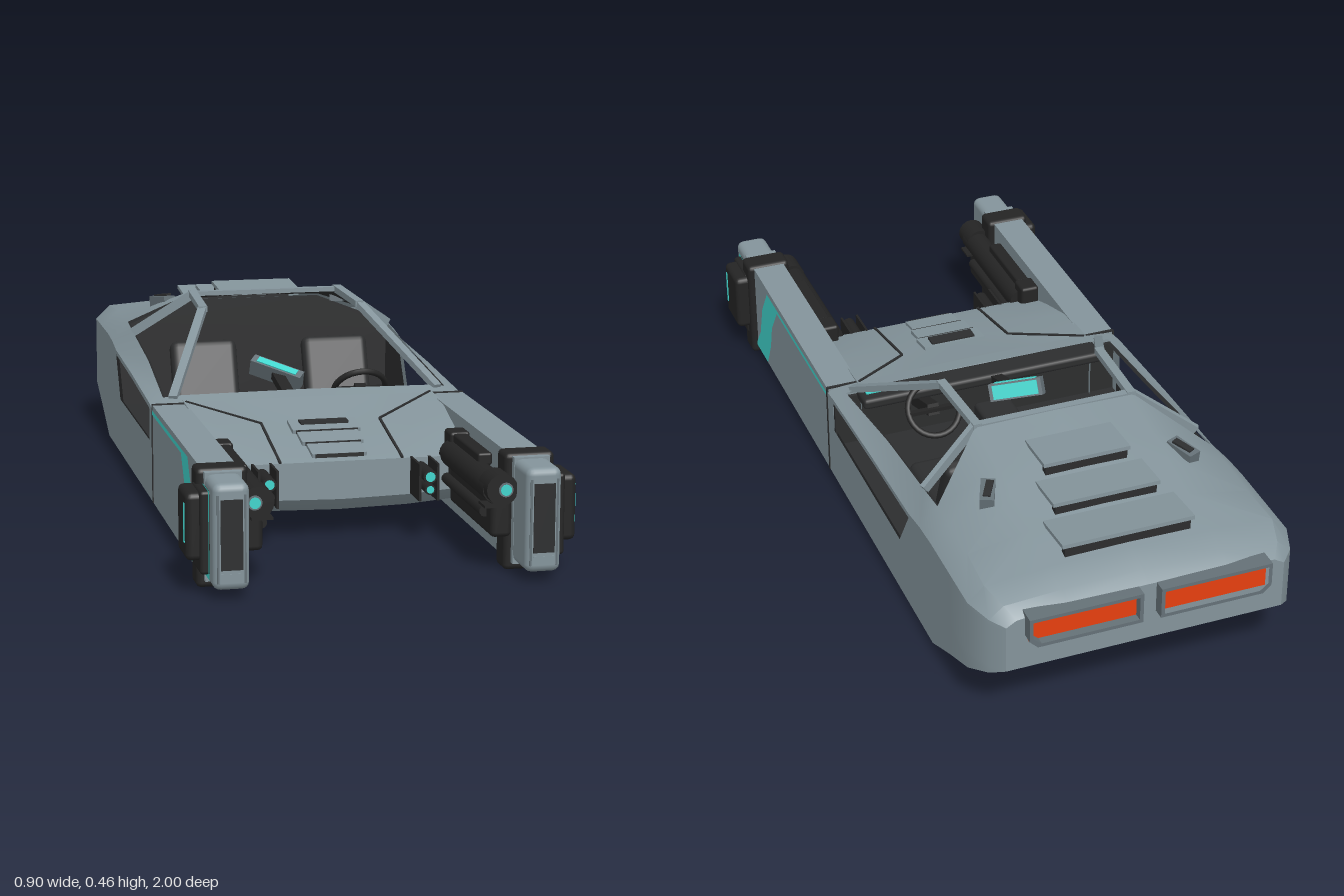
import * as THREE from 'three';
import { toCreasedNormals } from 'three/addons/utils/BufferGeometryUtils.js';
import { RoundedBoxGeometry } from 'three/addons/geometries/RoundedBoxGeometry.js';

const mat = (name, color, side = THREE.FrontSide) => {
  const m = new THREE.MeshStandardMaterial({ color, side });
  m.name = name;
  return m;
};

export function createModel() {
  const root = new THREE.Group();
  root.name = 'hoverCar';
  const paint = mat('greyPaint', 0x84949b, THREE.DoubleSide);
  const trim = mat('darkTrim', 0x2c2d2e, THREE.DoubleSide);
  const black = mat('blackMetal', 0x242424);
  const cyan = mat('cyanGlow', 0x40d4cc, THREE.DoubleSide);
  const orange = mat('orangeLamp', 0xe8400f);
  const frame = mat('frameGrey', 0x657177);

  const add = (name, geo, m, x = 0, y = 0, z = 0) => {
    const mesh = new THREE.Mesh(geo, m);
    mesh.name = name;
    mesh.position.set(x, y, z);
    root.add(mesh);
    return mesh;
  };
  const box = (name, m, w, h, d, x, y, z, r = 0) =>
    add(name, r ? new RoundedBoxGeometry(w, h, d, 2, r) : new THREE.BoxGeometry(w, h, d), m, x, y, z);
  const tube = (name, m, r, len, x, y, z, sides = 16) =>
    add(name, new THREE.CylinderGeometry(r, r, len, sides).rotateX(Math.PI / 2), m, x, y, z);
  // rectangular bar running from a to b
  const bar = (name, m, a, b, w, h) => {
    const p = new THREE.Vector3(...a), q = new THREE.Vector3(...b);
    const mesh = add(name, new THREE.BoxGeometry(w, h, p.distanceTo(q)), m);
    mesh.position.copy(p).add(q).multiplyScalar(0.5);
    mesh.lookAt(q);
    return mesh;
  };
  // mirrored skin over half sections that run front to back, bottom to top
  const loft = (rows, skip = () => false, angle = 0.6) => {
    const pos = [];
    for (const s of [1, -1]) {
      const tri = (...ps) => (s > 0 ? ps : ps.reverse()).forEach(([x, y, z]) => pos.push(s * x, y, z));
      for (let r = 0; r < rows.length - 1; r++) for (let c = 0; c < rows[r].length - 1; c++) {
        const [a, b, e, d] = [rows[r][c], rows[r][c + 1], rows[r + 1][c + 1], rows[r + 1][c]];
        if (!skip(r, c, 0)) tri(a, d, b);
        if (!skip(r, c, 1)) tri(b, d, e);
      }
    }
    const g = new THREE.BufferGeometry();
    g.setAttribute('position', new THREE.Float32BufferAttribute(pos, 3));
    return toCreasedNormals(g, angle);
  };
  // flat plate in the zy plane
  const sidePlate = (name, m, pts, x) =>
    add(name, new THREE.ShapeGeometry(new THREE.Shape(pts.map(p => new THREE.Vector2(...p)))).rotateY(-Math.PI / 2), m, x);

  // ---- main hull: z, bottom y, half width, outer shoulder y, inner shoulder x y, roof x y
  const stations = [
    [0.16, 0.02, 0.40, 0.258, 0.37, 0.268, 0.30, 0.272],
    [0.11, 0.02, 0.40, 0.265, 0.365, 0.277, 0.335, 0.281],
    [-0.19, 0.02, 0.40, 0.282, 0.355, 0.315, 0.21, 0.447],
    [-0.40, 0.02, 0.40, 0.292, 0.355, 0.343, 0.20, 0.456],
    [-0.55, 0.02, 0.40, 0.305, 0.355, 0.355, 0.20, 0.428],
    [-0.63, 0.02, 0.40, 0.31, 0.355, 0.355, 0.20, 0.408],
    [-0.75, 0.075, 0.40, 0.31, 0.355, 0.352, 0.20, 0.382],
    [-0.87, 0.125, 0.40, 0.31, 0.36, 0.348, 0.20, 0.36],
    [-0.94, 0.155, 0.375, 0.305, 0.34, 0.335, 0.20, 0.343],
    [-0.97, 0.172, 0.345, 0.295, 0.32, 0.31, 0.20, 0.322],
  ];
  const section = ([z, yb, w, yo, xi, yi, xr, yr], r) => {
    const lean = r === 3 ? 0.07 : 0;
    return [[0, yb, z], [w, yb, z], [w, Math.max(0.17, yb + 0.02), z], [w, yo - 0.012, z - lean],
      [w, yo, z - lean], [xi, yi, z - lean * 0.8], [xr, yr, z], [0, yr + 0.003, z]];
  };
  const hull = stations.map(section);
  hull.push(hull[9].map(() => [0, 0.24, -0.97]));
  const open = (r, c, t) => {
    if (r === 1 || r === 2) return c === 2 || c === 5 || c === 6;
    return r === 3 && c === 5 && t === 0;
  };
  add('hull', loft(hull, open), paint);
  // dark cabin lining just inside the hull
  const lining = hull.slice(1, 6).map(row => row.map(([x, y, z]) => [x * 0.98, y - 0.006, z]));
  add('cabinLining', loft(lining, (r, c, t) => c === 0 || open(r + 1, c, t)), trim);
  const wall = new THREE.Shape([[-0.39, 0.03], [0.39, 0.03], [0.39, 0.3], [0.34, 0.34], [0.19, 0.4],
    [-0.19, 0.4], [-0.34, 0.34], [-0.39, 0.3]].map(p => new THREE.Vector2(...p)));
  add('rearBulkhead', new THREE.ShapeGeometry(wall), trim, 0, 0, -0.615);
  box('cabinFloor', trim, 0.78, 0.02, 0.74, 0, 0.1, -0.24);
  box('firewall', trim, 0.78, 0.22, 0.01, 0, 0.14, 0.135);

  // ---- nose and hood: z, bottom y, outer top y, inner top y
  const nose = [[0.52, 0.1, 0.19, 0.19], [0.49, 0.068, 0.2, 0.198], [0.4, 0.045, 0.232, 0.215],
    [0.29, 0.03, 0.266, 0.238], [0.12, 0.02, 0.276, 0.278]]
    .map(([z, yb, yo, yi]) => [[0, yb - 0.004, z], [0.17, yb, z], [0.32, yb + 0.012, z],
      [0.32, yo, z], [0.15, yi, z], [0, yi, z]]);
  nose.unshift(nose[0].map(() => [0, 0.145, 0.52]));
  add('nose', loft(nose), paint);
  const slope = z => 0.19 + (0.52 - z) * 0.209;
  [0.31, 0.38, 0.45].forEach((z, i) => {
    const w = 0.17 - i * 0.018;
    bar('hoodSlat', paint, [0, slope(z) + 0.007, z - 0.02], [0, slope(z + 0.06) + 0.008, z + 0.05], w, 0.01);
    box('hoodVent', trim, w - 0.015, 0.009, 0.006, 0, slope(z + 0.05) + 0.006, z + 0.051);
  });
  box('hoodIntake', trim, 0.12, 0.006, 0.035, 0, slope(0.32) + 0.013, 0.32);

  // ---- roof louvres, stepping down the rear deck
  [[-0.49, 0.44, -0.61, 0.446, 0.11], [-0.62, 0.411, -0.73, 0.418, 0.135], [-0.74, 0.385, -0.86, 0.396, 0.165]]
    .forEach(([z0, y0, z1, y1, w]) => {
      bar('louvre', paint, [0, y0, z0], [0, y1, z1], w * 2, 0.01);
      box('louvreGap', trim, w * 1.9, 0.03, 0.02, 0, y1 - 0.018, z1 + 0.015);
    });

  for (const s of [1, -1]) {
    const P = (x, y, z) => [s * x, y, z];
    // window pillars
    bar('windscreenPillar', paint, P(0.342, 0.277, 0.125), P(0.21, 0.447, -0.19), 0.022, 0.016);
    bar('roofRail', paint, P(0.21, 0.447, -0.18), P(0.2, 0.454, -0.41), 0.022, 0.016);
    bar('doorPillar', paint, P(0.2, 0.452, -0.395), P(0.355, 0.343, -0.456), 0.014, 0.024);
    // deck vents
    bar('deckVent', frame, P(0.235, 0.404, -0.57), P(0.265, 0.395, -0.64), 0.035, 0.03);
    bar('deckVentSlot', trim, P(0.236, 0.421, -0.585), P(0.262, 0.412, -0.63), 0.018, 0.006);
    // hood seams
    bar('hoodSeam', trim, P(0.315, 0.273, 0.155), P(0.15, 0.239, 0.29), 0.006, 0.006);
    bar('hoodSeam', trim, P(0.15, 0.239, 0.29), P(0.15, 0.192, 0.52), 0.006, 0.006);

    // front arm with clamp and tip
    box('frontArm', paint, 0.085, 0.25, 0.74, s * 0.357, 0.144, 0.53);
    box('armTip', paint, 0.083, 0.242, 0.16, s * 0.357, 0.144, 0.92, 0.018);
    box('tipFrame', frame, 0.066, 0.2, 0.006, s * 0.357, 0.14, 0.996);
    box('tipGrille', trim, 0.05, 0.16, 0.006, s * 0.357, 0.15, 0.998);
    box('tipLip', paint, 0.05, 0.02, 0.006, s * 0.357, 0.052, 0.998);
    box('armClamp', black, 0.118, 0.275, 0.068, s * 0.357, 0.1375, 0.85, 0.012);
    box('seam', trim, 0.004, 0.25, 0.007, s * 0.4, 0.145, 0.16);
    box('topSeam', trim, 0.08, 0.004, 0.007, s * 0.36, 0.27, 0.16);

    // cyan markings on the outer flank
    sidePlate('flankBand', cyan, [[0.59, 0.258], [0.655, 0.17], [0.675, 0.1], [0.715, 0.025],
      [0.825, 0.025], [0.775, 0.09], [0.745, 0.18], [0.69, 0.258]], s * 0.402);
    sidePlate('flankLine', cyan, [[0.165, 0.247], [0.6, 0.247], [0.6, 0.258], [0.165, 0.258]], s * 0.402);
    sidePlate('podOutline', cyan, [[0.85, 0.04], [0.965, 0.04], [0.965, 0.243], [0.85, 0.243]], s * 0.4015);

    // outer pod
    box('outerPod', black, 0.05, 0.155, 0.115, s * 0.425, 0.157, 0.888, 0.014);
    box('podBase', black, 0.03, 0.19, 0.11, s * 0.405, 0.145, 0.9, 0.008);
    box('podLight', cyan, 0.004, 0.09, 0.009, s * 0.45, 0.165, 0.925);

    // inner thruster
    tube('thruster', black, 0.033, 0.38, s * 0.277, 0.195, 0.7);
    tube('thrusterMuzzle', black, 0.037, 0.07, s * 0.282, 0.2, 0.885);
    tube('muzzleLight', cyan, 0.013, 0.006, s * 0.29, 0.2, 0.922);
    tube('muzzleRing', frame, 0.017, 0.004, s * 0.29, 0.2, 0.921);
    box('thrusterBody', black, 0.05, 0.13, 0.36, s * 0.29, 0.145, 0.71, 0.012);
    box('thrusterRail', black, 0.035, 0.03, 0.22, s * 0.29, 0.232, 0.64, 0.006);
    tube('thrusterPipe', black, 0.014, 0.34, s * 0.262, 0.135, 0.68, 10);
    box('thrusterMount', black, 0.05, 0.12, 0.06, s * 0.29, 0.19, 0.505, 0.008);
    box('thrusterFin', black, 0.05, 0.006, 0.05, s * 0.27, 0.158, 0.88);

    // twin headlights between two brackets
    for (const [y, r] of [[0.163, 0.017], [0.132, 0.013]]) {
      tube('headlight', black, r, 0.1, s * 0.195, y, 0.565);
      tube('headlightLens', cyan, r * 0.7, 0.006, s * 0.195, y, 0.614);
    }
    for (const x of [0.173, 0.217]) box('lightBracket', black, 0.006, 0.09, 0.09, s * x, 0.147, 0.56);
    box('lightCrossbar', black, 0.05, 0.008, 0.03, s * 0.195, 0.148, 0.56);

    // tail lamp: chamfered hollow frame with a glowing back
    const outline = k => [[0.022 + k, 0.245 + k], [0.28 - k, 0.245 + k], [0.3 - k, 0.265 + k * 0.6],
      [0.3 - k, 0.325 - k], [0.022 + k, 0.325 - k]].map(([x, y]) => new THREE.Vector2(s * x, y));
    const lamp = new THREE.Shape(outline(0));
    lamp.holes.push(new THREE.Path(outline(0.009)));
    add('tailLampFrame', new THREE.ExtrudeGeometry(lamp, { depth: 0.06, bevelEnabled: false }), frame, 0, 0, -1);
    box('tailLamp', orange, 0.266, 0.068, 0.01, s * 0.161, 0.285, -0.974);

    // seat
    const back = box('seatBack', trim, 0.18, 0.2, 0.05, s * 0.18, 0.235, -0.33, 0.02);
    back.rotation.x = -0.38;
    box('seatCushion', trim, 0.18, 0.06, 0.22, s * 0.18, 0.14, -0.2, 0.02);
  }

  // ---- cabin fittings
  box('roofEdge', paint, 0.4, 0.012, 0.02, 0, 0.453, -0.4);
  box('dashboard', trim, 0.66, 0.03, 0.07, 0, 0.255, 0.1, 0.01);
  box('centreConsole', trim, 0.1, 0.07, 0.4, -0.03, 0.14, -0.1, 0.01);
  bar('screenArm', black, [-0.03, 0.25, 0.09], [-0.04, 0.29, -0.05], 0.03, 0.02);
  const screen = new THREE.Group();
  screen.name = 'screenUnit';
  screen.position.set(-0.04, 0.295, -0.055);
  screen.rotation.set(0.5, -0.6, 0);
  screen.add(box('screenCase', frame, 0.14, 0.045, 0.03, 0, 0, 0), box('screenGlow', cyan, 0.12, 0.036, 0.004, 0, 0, -0.016),
    box('screenTop', cyan, 0.11, 0.004, 0.02, 0, 0.023, 0));
  root.add(screen);
  const wheel = add('steeringWheel', new THREE.TorusGeometry(0.068, 0.008, 8, 28), black, 0.17, 0.255, -0.01);
  wheel.rotation.x = 0.7;
  bar('wheelSpoke', black, [0.105, 0.255, -0.01], [0.235, 0.255, -0.01], 0.014, 0.01);
  bar('steeringColumn', black, [0.17, 0.255, -0.01], [0.17, 0.21, 0.12], 0.03, 0.03);
  box('dashLight', cyan, 0.09, 0.005, 0.012, 0.27, 0.271, 0.1);
  return root;
}
